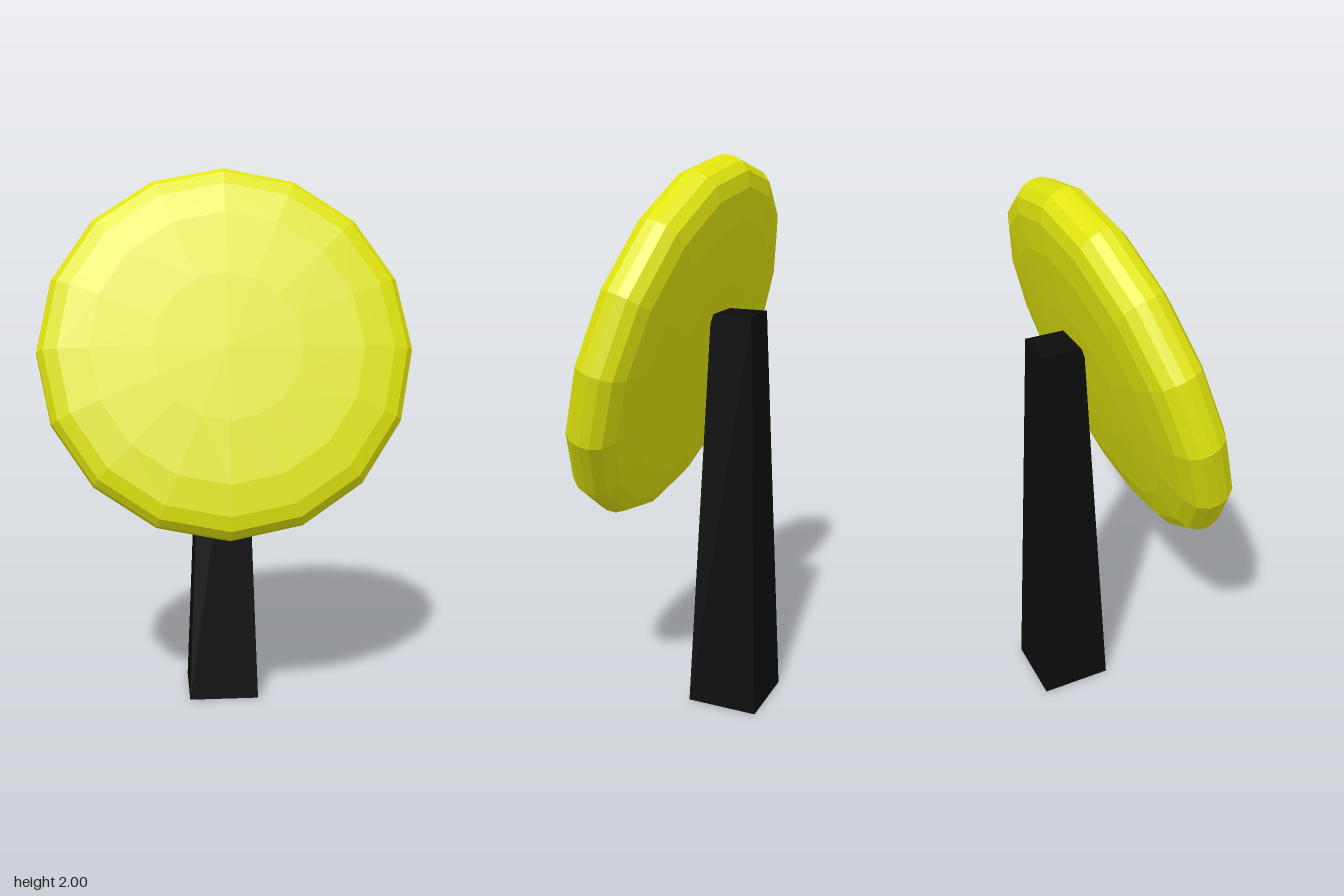
import * as THREE from 'three';

const TILT = THREE.MathUtils.degToRad(16.8);

export function createModel() {
  const model = new THREE.Group();
  const yellow = new THREE.MeshStandardMaterial({ color: 0xe0e40e, flatShading: true });
  const black = new THREE.MeshStandardMaterial({ color: 0x0c0c0c, flatShading: true });

  // Tapered square post
  const postHeight = 1.47, bottomHalf = 0.132, topHalf = 0.075;
  const postGeometry = new THREE.CylinderGeometry(
    topHalf * Math.SQRT2, bottomHalf * Math.SQRT2, postHeight, 4);
  postGeometry.rotateY(Math.PI / 4);
  const post = new THREE.Mesh(postGeometry, black);
  post.name = 'post';
  post.position.set(0, postHeight / 2, -0.173);
  model.add(post);

  // Pillow-edged disc: half profile (radius, height) mirrored about its rim
  const half = [[0, 0.119], [0.26, 0.117], [0.48, 0.107], [0.59, 0.09], [0.64, 0.068], [0.664, 0.035]];
  const profile = [
    ...half.map(([r, h]) => new THREE.Vector2(r, -h)),
    new THREE.Vector2(0.67, 0),
    ...half.map(([r, h]) => new THREE.Vector2(r, h)).reverse(),
  ];
  const disc = new THREE.Mesh(new THREE.LatheGeometry(profile, 16), yellow);
  disc.name = 'disc';
  disc.rotation.x = Math.PI / 2 - TILT;
  disc.position.set(0, 1.357, 0.05);
  model.add(disc);

  return model;
}
